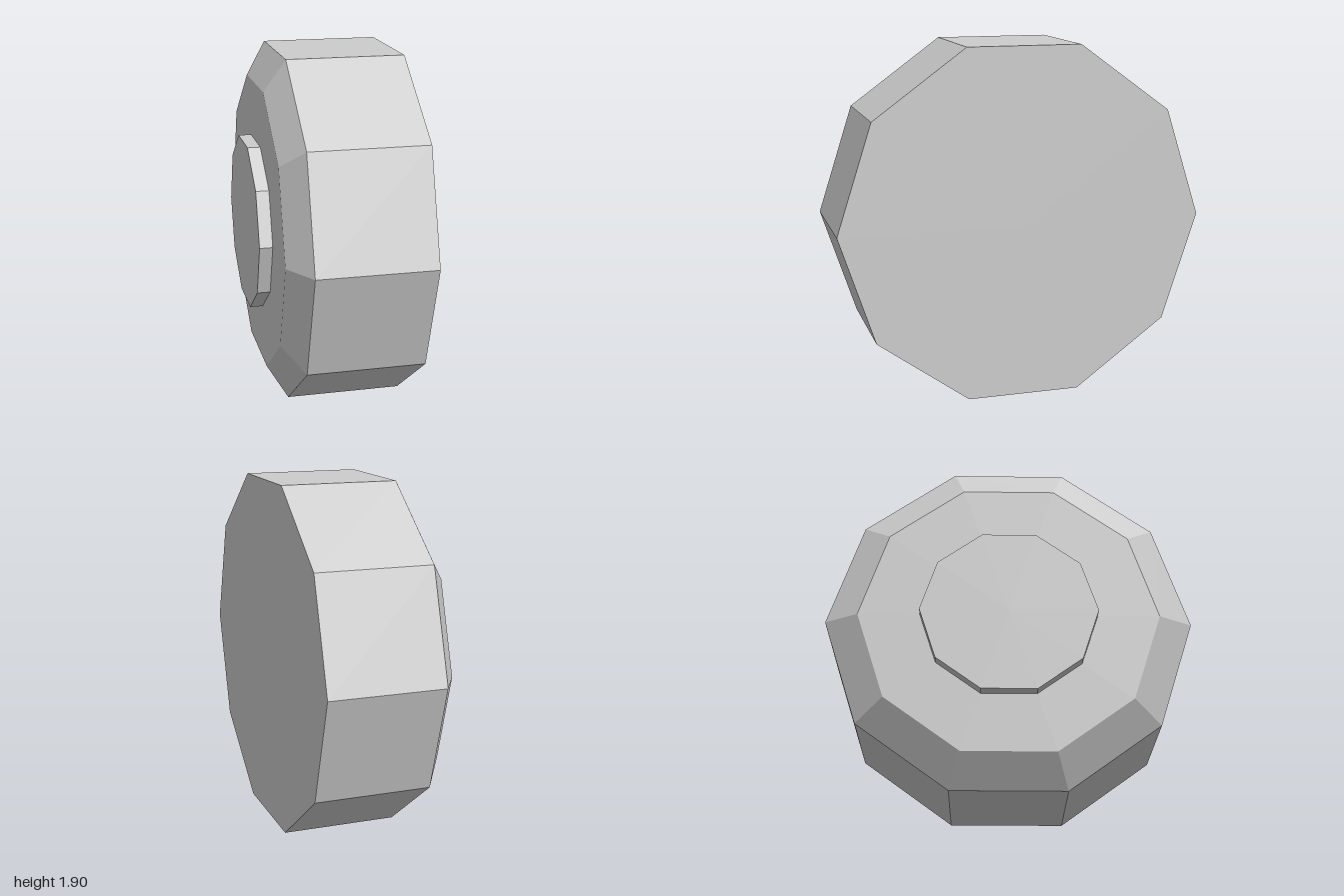
import * as THREE from 'three';

export function createModel() {
  const group = new THREE.Group();
  group.name = 'wheel';
  const grey = new THREE.MeshStandardMaterial({ color: 0xcccccc, flatShading: true });
  grey.name = 'light grey';
  const sides = 10;
  const centreY = Math.sin((Math.PI * 2) / 5); // flat side rests on the ground

  // Turned parts: [radius, height] profile, with the axis laid along -x
  function turned(name, profile) {
    const points = profile.map(([r, h]) => new THREE.Vector2(r, h));
    const mesh = new THREE.Mesh(new THREE.LatheGeometry(points, sides), grey);
    mesh.name = name;
    mesh.rotation.z = Math.PI / 2;
    mesh.position.y = centreY;
    group.add(mesh);
  }

  // Tyre with a flat inner face and a bevelled outer rim
  turned('tyre', [[0, -0.405], [1, -0.405], [1, 0.228], [0.815, 0.338], [0, 0.338]]);

  // Raised hub cap on the outer face
  turned('hubCap', [[0.48, 0.338], [0.48, 0.408], [0, 0.408]]);

  return group;
}
